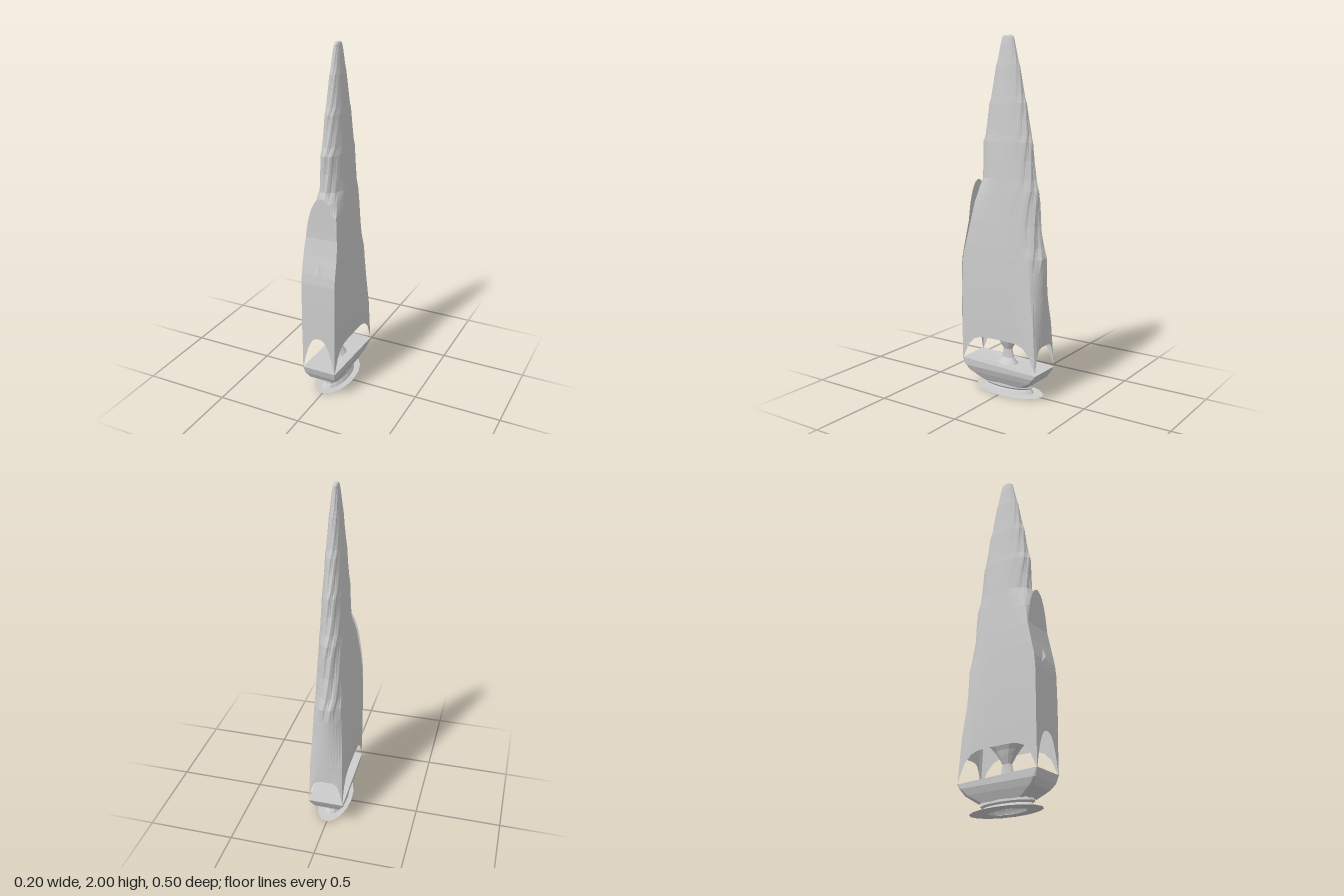
import * as THREE from 'three';

const mat = new THREE.MeshStandardMaterial({ color: 0xcccccc, flatShading: true, side: THREE.DoubleSide });
const lerp = THREE.MathUtils.lerp;

// Skin a list of closed rings (arrays of [x, y, z]), all with the same point count
function loft(name, rings) {
  const n = rings[0].length, index = [];
  for (let r = 0; r < rings.length - 1; r++) {
    for (let j = 0; j < n; j++) {
      const a = r * n + j, b = r * n + (j + 1) % n;
      index.push(a, a + n, b, b, a + n, b + n);
    }
  }
  const g = new THREE.BufferGeometry();
  g.setAttribute('position', new THREE.Float32BufferAttribute(rings.flat(2), 3));
  g.setIndex(index);
  g.computeVertexNormals();
  const mesh = new THREE.Mesh(g, mat);
  mesh.name = name;
  return mesh;
}

// Elliptical ring
const oval = (y, a, b, n = 16, cz = 0) => Array.from({ length: n }, (_, j) => {
  const t = j / n * Math.PI * 2;
  return [a * Math.cos(t), y, cz + b * Math.sin(t)];
});

// Oblong ring with cut corners; c is the corner cut
const oblong = (y, a, b, c) => [
  [a, y, b - c * 1.6], [a - c, y, b], [c - a, y, b], [-a, y, b - c * 1.6],
  [-a, y, c * 1.6 - b], [c - a, y, -b], [a - c, y, -b], [a, y, c * 1.6 - b],
];

// Tower levels: y, half width, front depth, back depth, front squareness, back squareness
const LEVELS = [
  [0.17, 0.1, 0.248, 0.246, 1, 1],
  [0.42, 0.102, 0.248, 0.246, 1, 0.75],
  [0.6, 0.102, 0.248, 0.243, 1, 0.45],
  [0.72, 0.1, 0.246, 0.243, 1, 0.3],
  [0.8, 0.098, 0.237, 0.242, 1, 0.2],
  [0.86, 0.096, 0.222, 0.225, 1, 0.15],
  [0.98, 0.091, 0.2, 0.207, 0.9, 0.1],
  [1.1, 0.084, 0.195, 0.2, 0.6, 0.05],
  [1.17, 0.08, 0.182, 0.195, 0.25, 0],
  [1.23, 0.076, 0.16, 0.178, 0, 0],
  [1.33, 0.071, 0.155, 0.163, 0, 0],
  [1.43, 0.065, 0.158, 0.157, 0, 0],
  [1.47, 0.061, 0.142, 0.147, 0, 0],
  [1.56, 0.055, 0.126, 0.128, 0, 0],
  [1.64, 0.05, 0.118, 0.117, 0, 0],
  [1.68, 0.046, 0.104, 0.104, 0, 0],
  [1.76, 0.039, 0.088, 0.088, 0, 0],
  [1.84, 0.033, 0.075, 0.073, 0, 0],
  [1.88, 0.028, 0.062, 0.062, 0, 0],
  [1.96, 0.02, 0.043, 0.043, 0, 0],
  [1.99, 0.015, 0.036, 0.036, 0, 0],
  [2.0, 0.011, 0.026, 0.026, 0, 0],
];

// Interpolated level at any height
function levelAt(y) {
  const i = Math.max(1, LEVELS.findIndex(l => l[0] >= y));
  const p = LEVELS[i - 1], q = LEVELS[i], t = (y - p[0]) / (q[0] - p[0]);
  return p.map((v, k) => lerp(v, q[k], t));
}

const SIDE = 12; // points along each of the four walls

// Point on the tower wall; square and oval outlines are blended
function wallPoint(level, j, row) {
  const [y, a, zf, zb, kf, kb] = level;
  const side = Math.floor(j / SIDE), u = (j % SIDE) / SIDE * 2 - 1;
  const [sx, sz] = [[1, u], [-u, 1], [-1, -u], [u, -1]][side];
  const ang = (side + u / 2) * Math.PI / 2;
  const k = lerp(kb, kf, THREE.MathUtils.smoothstep(sz, -0.6, 0.6));
  const chip = y > 0.75 && y < 1.99 && !(sz > 0.5 && y < 1.2)
    ? 1 + 0.025 * Math.sin(j * 1.57 + row * 2.1) : 1;
  const x = a * lerp(Math.cos(ang), sx, k);
  const z = (sz > 0 ? zf : zb) * lerp(Math.sin(ang), sz, k);
  return [x * (Math.abs(sx) > 0.9 ? 1 : chip), y, z * chip];
}

// Lower wall edge: an arch on every side, leaving four corner legs
function archY(j) {
  const side = Math.floor(j / SIDE), u = Math.abs((j % SIDE) / SIDE * 2 - 1);
  const rise = [0.155, 0.215, 0.155, 0.14][side];
  const power = side === 1 ? 2.6 : 5;
  return 0.17 + rise * (1 - u ** power);
}

function createModel() {
  const root = new THREE.Group();
  root.name = 'tower';

  // Hollow spire shell with arched openings
  const rings = LEVELS.map((l, row) => Array.from({ length: SIDE * 4 }, (_, j) =>
    wallPoint(row ? l : [archY(j), ...l.slice(1)], j, row)));
  rings.push(Array.from({ length: SIDE * 4 }, () => [0, 2, 0]));
  root.add(loft('spire', rings));

  // Round-topped front panel following the slope of the wall
  const panel = new THREE.PlaneGeometry(2, 1, 8, 20);
  const p = panel.attributes.position;
  for (let i = 0; i < p.count; i++) {
    const v = p.getY(i) + 0.5;
    const y = 0.42 + 0.79 * Math.sin(v * Math.PI / 2);
    const t = Math.max(0, (y - 0.8) / 0.41);
    const w = 0.101 * Math.sqrt(Math.max(0, 1 - t ** 2.4));
    const z = y > 0.98 ? 0.202 : levelAt(y)[2] + 0.003;
    p.setXYZ(i, p.getX(i) * w, y, z);
  }
  panel.computeVertexNormals();
  const panelMesh = new THREE.Mesh(panel, mat);
  panelMesh.name = 'frontPanel';
  root.add(panelMesh);

  // Small gable on the front panel
  for (const s of [-1, 1]) {
    const g = new THREE.BufferGeometry();
    const pts = [0, 0.85, 0.229, 0, 0.8, 0.25, s * 0.035, 0.755, 0.246];
    g.setAttribute('position', new THREE.Float32BufferAttribute(pts, 3));
    g.computeVertexNormals();
    const m = new THREE.Mesh(g, mat);
    m.name = 'gable';
    root.add(m);
  }

  // Flared column inside the arches, opening into the ceiling
  root.add(loft('column', [
    oval(0.165, 0.05, 0.065, 12), oval(0.2, 0.02, 0.04, 12), oval(0.25, 0.018, 0.027, 12),
    oval(0.29, 0.035, 0.05, 12), oval(0.32, 0.045, 0.075, 12), oval(0.36, 0.068, 0.11, 12),
    oval(0.39, 0.09, 0.22, 12),
  ]));

  // Boat-shaped hull under the legs, closed on top
  const hull = [
    oblong(0.055, 0.062, 0.15, 0.02), oblong(0.1, 0.086, 0.215, 0.014),
    oblong(0.135, 0.1, 0.235, 0.006), oblong(0.17, 0.102, 0.248, 0.001),
    oblong(0.166, 0.04, 0.06, 0.01), oblong(0.166, 0, 0, 0),
  ];
  // Rim is a little higher at the front
  hull[3].forEach(q => { q[1] += q[2] * 0.035; });
  root.add(loft('hull', hull));

  // Neck rings
  root.add(loft('neck', [
    oval(0.012, 0.072, 0.17), oval(0.025, 0.066, 0.16), oval(0.035, 0.06, 0.15),
    oval(0.045, 0.068, 0.165), oval(0.058, 0.066, 0.16), oval(0.058, 0.05, 0.13),
  ]));

  // Thin foot plate with an open middle
  const foot = [oval(0.006, 0.045, 0.12), oval(0.008, 0.099, 0.222, 16, -0.01)];
  foot[1].forEach(q => { q[1] += q[0] * -0.07; });
  foot[0].forEach(q => { q[1] += q[0] * -0.07; });
  root.add(loft('footPlate', foot));

  return root;
}

export { createModel };
